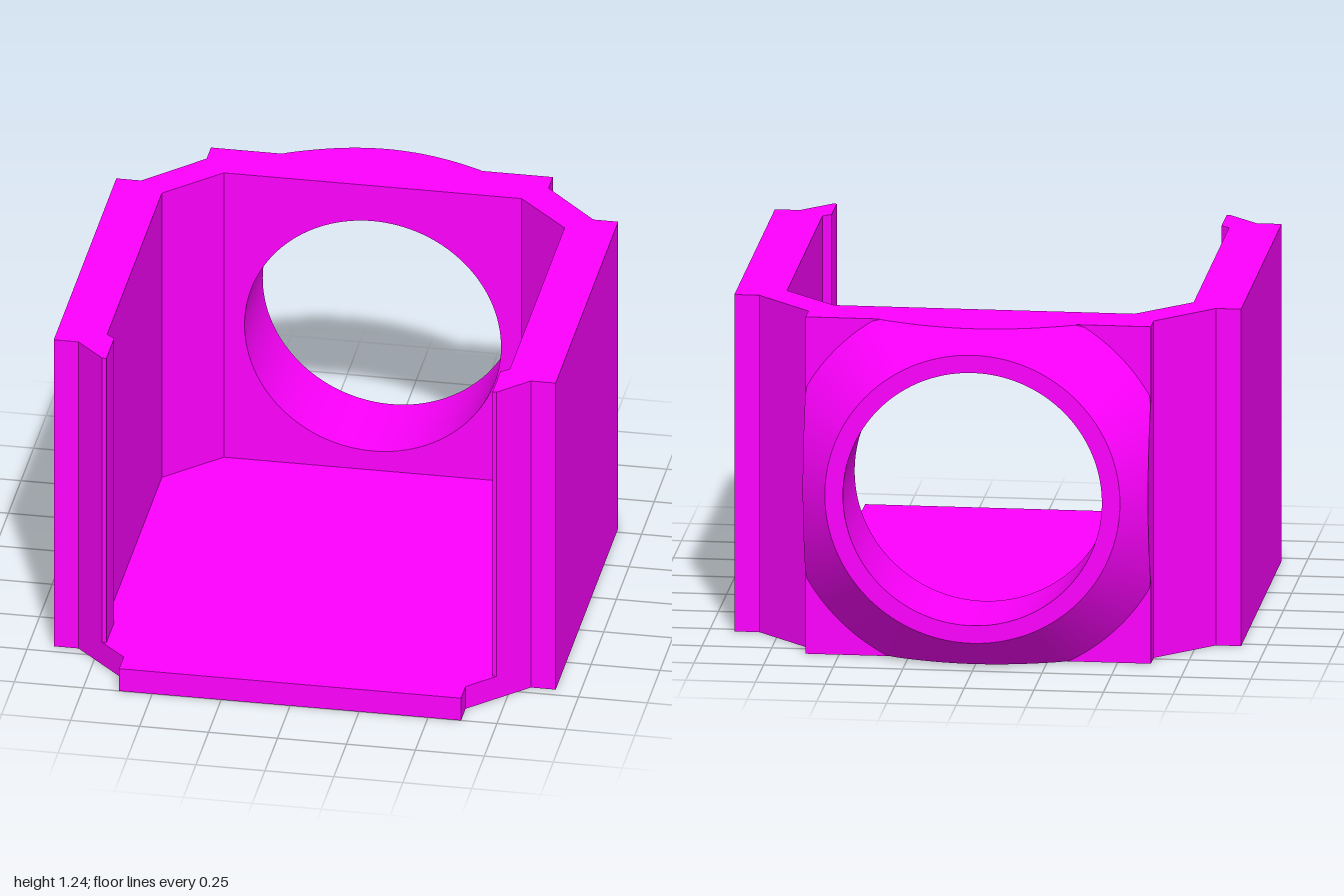
import * as THREE from 'three';
import { toCreasedNormals } from 'three/addons/utils/BufferGeometryUtils.js';

const H = 1.24, FLOOR = 0.09;          // overall height, floor thickness
const CY = 0.632, BORE = 0.465;        // bore centre height and radius
const BACK = -0.82, INNER = -0.64, END = -1; // back wall outside, inside, collar end
const HALF = 0.62;                     // half width of the collar block

const material = new THREE.MeshStandardMaterial({ color: 0xff00ff });

function addMesh(group, name, geometry) {
  const mesh = new THREE.Mesh(geometry, material);
  mesh.name = name;
  group.add(mesh);
}

// Extrude an [x, z] plan upwards from y0 to y1
function prism(plan, y0, y1) {
  const shape = new THREE.Shape(plan.map(([x, z]) => new THREE.Vector2(x, -z)));
  const geo = new THREE.ExtrudeGeometry(shape, { depth: y1 - y0, bevelEnabled: false });
  return geo.rotateX(-Math.PI / 2).translate(0, y0, 0);
}

const mirror = (plan) => plan.map(([x, z]) => [-x, z]);

// Band of faces between two rings around the bore axis; each ring is angle -> [radius, z]
function band(ringA, ringB, n = 144) {
  const pos = [], index = [];
  for (let i = 0; i < n; i++) {
    const t = (i / n) * Math.PI * 2;
    for (const ring of [ringA, ringB]) {
      const [r, z] = ring(t);
      pos.push(r * Math.cos(t), CY + r * Math.sin(t), z);
    }
    const a = 2 * i, b = (2 * i + 2) % (2 * n);
    index.push(a, b, a + 1, b, b + 1, a + 1);
  }
  const geo = new THREE.BufferGeometry();
  geo.setAttribute('position', new THREE.Float32BufferAttribute(pos, 3));
  geo.setIndex(index);
  geo.computeVertexNormals();
  return geo;
}

export function createModel() {
  const group = new THREE.Group();
  group.name = 'housing';

  // Floor plate with notched, chamfered corners
  const edge = [[0.62, 1], [0.62, 0.91], [0.82, 0.71], [0.91, 0.71],
    [0.91, -0.53], [0.82, -0.53], [0.62, -0.735], [0.62, BACK]];
  addMesh(group, 'floor', prism([...edge, ...mirror(edge).reverse()], 0, FLOOR));

  // Side walls with a small lip at the front and an angled back corner
  const wall = [[0.54, BACK], [0.62, BACK], [0.62, -0.735], [0.82, -0.53],
    [0.91, -0.53], [0.91, 0.71], [0.82, 0.71], [0.715, 0.815], [0.7, 0.815],
    [0.7, 0.66], [0.73, 0.635], [0.73, -0.45], [0.54, INNER]];
  addMesh(group, 'leftWall', prism(wall, FLOOR, H));
  addMesh(group, 'rightWall', prism(mirror(wall), FLOOR, H));

  // Back wall with the round opening
  const back = new THREE.Shape([[-0.54, FLOOR], [0.54, FLOOR], [0.54, H], [-0.54, H]]
    .map(([x, y]) => new THREE.Vector2(x, y)));
  back.holes.push(new THREE.Path().absarc(0, CY, BORE, 0, Math.PI * 2, true));
  const backGeo = new THREE.ExtrudeGeometry(back,
    { depth: INNER - BACK, bevelEnabled: false, curveSegments: 72 }).translate(0, 0, BACK);
  addMesh(group, 'backWall', toCreasedNormals(backGeo, 0.5));

  // Conical collar, trimmed flat by the sides, top and bottom of the body
  const rim = 0.53, base = rim + BACK - END;
  const trimmed = (t) => {
    const c = Math.abs(Math.cos(t)), s = Math.sin(t);
    return Math.min(base, HALF / Math.max(c, 1e-6),
      (s > 0 ? H - CY : CY) / Math.max(Math.abs(s), 1e-6));
  };
  const rings = [
    () => [BORE, BACK],
    () => [BORE, END],
    () => [rim, END],
    (t) => [trimmed(t), END + trimmed(t) - rim],
    (t) => [trimmed(t), BACK],
  ];
  const collar = new THREE.Group();
  collar.name = 'collar';
  ['collarBore', 'collarRim', 'collarCone', 'collarTrimmedSides'].forEach((name, i) =>
    addMesh(collar, name, band(rings[i], rings[i + 1])));
  group.add(collar);

  return group;
}
